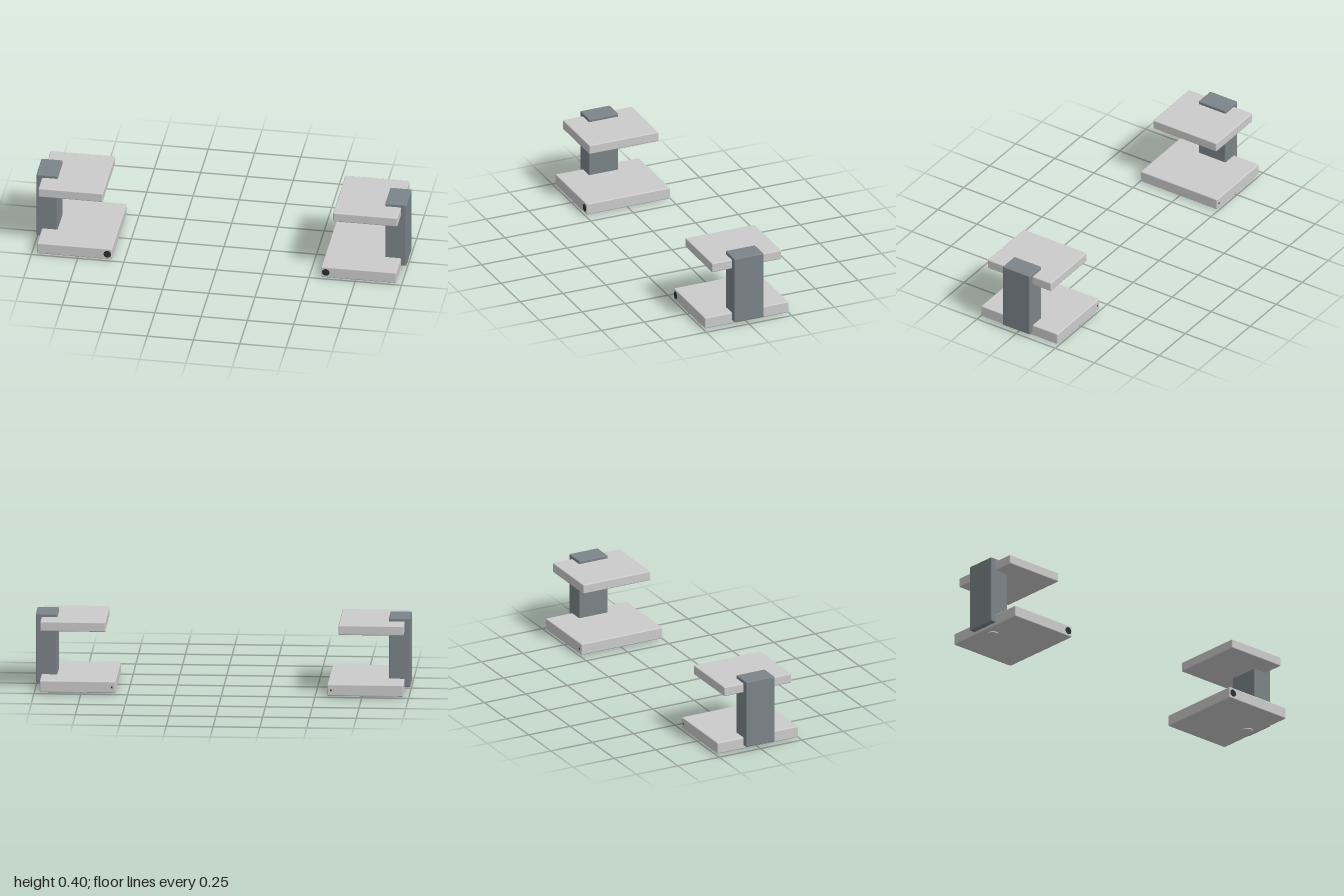
import * as THREE from 'three';
import { RoundedBoxGeometry } from 'three/addons/geometries/RoundedBoxGeometry.js';

const grey = new THREE.MeshStandardMaterial({ color: 0xcccccc });
const slate = new THREE.MeshStandardMaterial({ color: 0x7b8489 });
const dark = new THREE.MeshStandardMaterial({ color: 0x2b2f33 });

// Rounded block given by its extents; depth is centred on z = 0
function block(name, x0, x1, y0, y1, depth, material) {
  const geometry = new RoundedBoxGeometry(x1 - x0, y1 - y0, depth, 3, 0.006);
  const mesh = new THREE.Mesh(geometry, material);
  mesh.name = name;
  mesh.position.set((x0 + x1) / 2, (y0 + y1) / 2, 0);
  return mesh;
}

function disc(name, radius, height, material) {
  const mesh = new THREE.Mesh(new THREE.CylinderGeometry(radius, radius, height, 32), material);
  mesh.name = name;
  return mesh;
}

// One unit; side is +1 for left, -1 for right
function createUnit(side) {
  const unit = new THREE.Group();
  unit.name = side > 0 ? 'leftUnit' : 'rightUnit';
  const span = (a, b) => (side > 0 ? [a, b] : [-b, -a]);

  // Upright post and the two plates it joins
  unit.add(block('post', ...span(0.885, 1), 0.024, 0.4, 0.173, slate));
  unit.add(block('lowerPlate', ...span(0.565, 0.97), 0.006, 0.07, 0.49, grey));
  unit.add(block('upperPlate', ...span(0.622, 0.97), 0.33, 0.383, 0.406, grey));

  // Round foot under the lower plate
  const foot = disc('foot', 0.03, 0.012, grey);
  foot.position.set(side * 0.912, 0.006, 0);
  unit.add(foot);

  // Round button set into the front edge
  const button = disc('button', 0.02, 0.02, dark);
  button.rotation.x = Math.PI / 2;
  button.position.set(side * 0.59, 0.038, 0.236);
  unit.add(button);

  // Small pin at the back edge
  const pin = disc('backPin', 0.005, 0.02, dark);
  pin.rotation.x = Math.PI / 2;
  pin.position.set(side * 0.585, 0.038, -0.236);
  unit.add(pin);
  return unit;
}

export function createModel() {
  const model = new THREE.Group();
  model.name = 'pairOfUnits';
  for (const side of [1, -1]) model.add(createUnit(side));
  return model;
}
